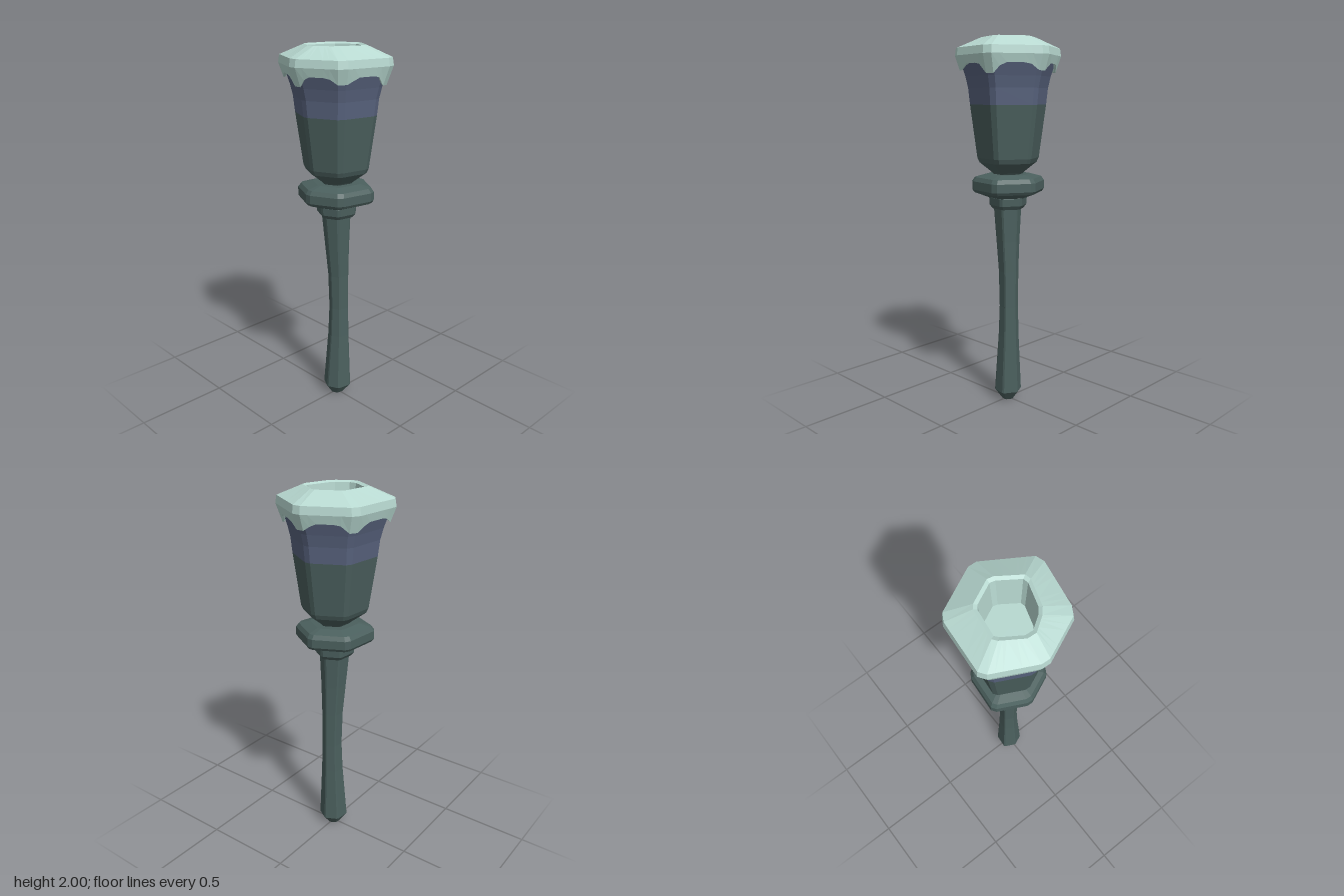
import * as THREE from 'three';

// Bevelled hexagon seen from above: two [x, z] points per corner, unit radius
const HEX = [
  [0.13, -0.253], [0.17, -0.23], [0.28, -0.01], [0.278, 0.035],
  [0.14, 0.258], [0.095, 0.272], [-0.145, 0.228], [-0.188, 0.203],
  [-0.28, 0], [-0.278, -0.045], [-0.175, -0.253], [-0.14, -0.277],
].map(([x, z]) => [x / 0.28, z / 0.28]);

// Slightly skewed mouth of the cap, same corner order
const MOUTH = [
  [0.075, -0.13], [0.095, -0.115], [0.152, 0], [0.145, 0.03],
  [0.07, 0.14], [0.04, 0.146], [-0.09, 0.105], [-0.12, 0.08],
  [-0.168, 0.01], [-0.165, -0.035], [-0.1, -0.135], [-0.078, -0.152],
];

// Splits the six long sides of a section so the skirt can be scalloped
const STEPS = [0, 0.2, 0.35, 0.7, 0.85];
function subdivide(section) {
  const out = [];
  for (let c = 0; c < 6; c++) {
    const a = section[c * 2 + 1], b = section[(c * 2 + 2) % 12];
    out.push(section[c * 2]);
    for (const t of STEPS) out.push([a[0] + (b[0] - a[0]) * t, a[1] + (b[1] - a[1]) * t]);
  }
  return out;
}

const ring = (section, r, y, dx = 0, dz = 0) => section.map(([x, z]) => [x * r + dx, y, z * r + dz]);

// Skins a stack of rings; optional caps close the first and last ring
function loft(rings, capStart = false, capEnd = false) {
  const pos = [];
  const tri = (...pts) => pts.forEach((p) => pos.push(...p));
  const n = rings[0].length;
  const centre = (r) => [0, 1, 2].map((k) => r.reduce((s, p) => s + p[k], 0) / n);
  const first = rings[0], last = rings[rings.length - 1];
  const c0 = centre(first), c1 = centre(last);
  for (let i = 0; i < n; i++) {
    const j = (i + 1) % n;
    for (let k = 0; k < rings.length - 1; k++) {
      const lo = rings[k], hi = rings[k + 1];
      tri(lo[i], hi[i], hi[j]);
      tri(lo[i], hi[j], lo[j]);
    }
    if (capStart) tri(c0, first[i], first[j]);
    if (capEnd) tri(c1, last[j], last[i]);
  }
  const g = new THREE.BufferGeometry();
  g.setAttribute('position', new THREE.Float32BufferAttribute(pos, 3));
  g.computeVertexNormals();
  return g;
}

const hexLoft = (profile, a, b) => loft(profile.map(([r, y, dx, dz]) => ring(HEX, r, y, dx, dz)), a, b);

export function createModel() {
  const group = new THREE.Group();
  const material = (name, color) => {
    const m = new THREE.MeshStandardMaterial({ color, flatShading: true });
    m.name = name;
    return m;
  };
  const darkTeal = material('darkTeal', 0x4b605e);
  const slateBlue = material('slateBlue', 0x59647f);
  const paleMint = material('paleMint', 0xb8d9d1);
  const add = (name, geometry, mat) => {
    const mesh = new THREE.Mesh(geometry, mat);
    mesh.name = name;
    group.add(mesh);
  };

  // Slim handle, waisted in the middle and blunt at the foot
  add('handle', hexLoft([
    [0.035, 0], [0.074, 0.055, 0.003, 0.003], [0.066, 0.2, 0.006, 0.004],
    [0.056, 0.38, 0.01, 0.005], [0.051, 0.55, 0.012, 0.005], [0.054, 0.75, 0.009, 0.004],
    [0.063, 0.92, 0.002, 0.002], [0.075, 1.11, -0.003, 0],
  ], true, true), darkTeal);

  // Small collar under the guard
  add('collar', hexLoft([
    [0.085, 1.1], [0.1, 1.12], [0.103, 1.16], [0.09, 1.18],
  ], true, true), darkTeal);

  // Wide guard disc
  add('guard', hexLoft([
    [0.11, 1.163], [0.185, 1.19], [0.195, 1.205], [0.195, 1.25], [0.18, 1.272], [0.12, 1.288],
  ], true, true), darkTeal);

  // Flared cup: lower part and coloured upper band
  add('cupBase', hexLoft([
    [0.07, 1.275], [0.085, 1.295], [0.155, 1.35], [0.166, 1.375], [0.203, 1.655],
  ], true), darkTeal);
  add('cupBand', hexLoft([
    [0.203, 1.655], [0.212, 1.74], [0.226, 1.8], [0.25, 1.875],
  ], false, false), slateBlue);

  // Cap with a dripping skirt, sloping top and hollow mouth
  const wide = subdivide(HEX), mouth = subdivide(MOUTH);
  const dripY = [1.82, 1.825, 1.81, 1.83, 1.81, 1.83];
  const sideY = [0, 1.856, 1.862, 1.862, 1.846];
  const hem = wide.map(([x, z], i) => {
    const corner = Math.floor(i / 6), step = i % 6;
    const y = step < 2 ? dripY[corner] : sideY[step - 1];
    const r = 0.247 + (y - 1.81) * 0.4;
    return [x * r, y, z * r];
  });
  add('cap', loft([
    ring(wide, 0.235, 1.868),
    hem.map(([x, y, z]) => [x * 0.965, y + 0.006, z * 0.965]),
    hem,
    ring(wide, 0.28, 1.905),
    ring(wide, 0.274, 1.945),
    ring(mouth, 1, 2),
    ring(mouth, 0.88, 1.992),
    ring(mouth, 0.78, 1.8),
  ], false, true), paleMint);

  return group;
}
